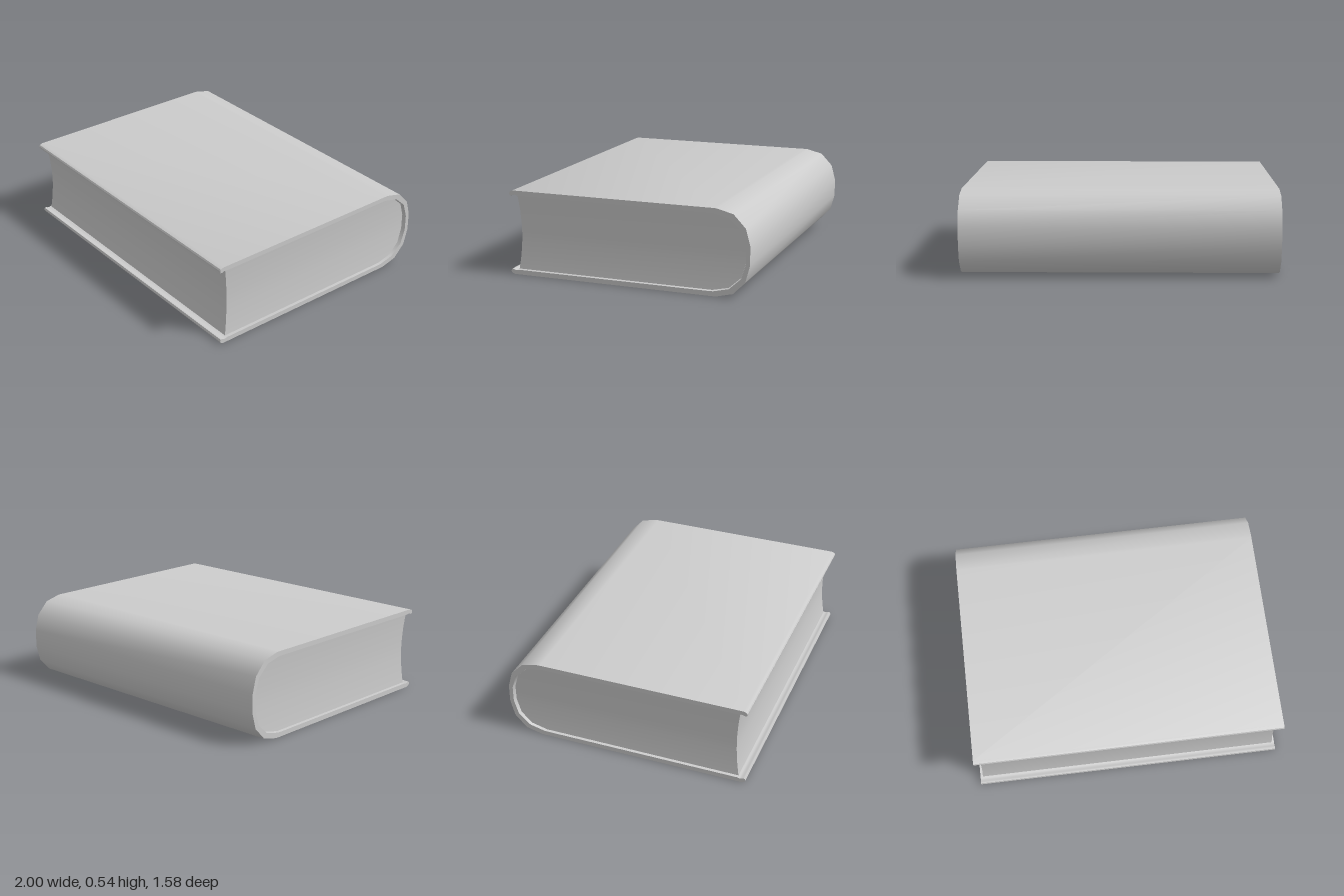
import * as THREE from 'three';
import { toCreasedNormals } from 'three/addons/utils/BufferGeometryUtils.js';

const HEIGHT = 0.54;
const MID = HEIGHT / 2;

// Lower half of the cover section as [depth toward the spine, y]
const OUTER = [
  [-0.79, 0.018], [-0.785, 0.008], [-0.765, 0], [0.56, 0], [0.58, 0.001],
  [0.685, 0.027], [0.762, 0.108], [0.79, 0.212],
];
const INNER = [
  [0.764, 0.218], [0.734, 0.122], [0.658, 0.054], [0.56, 0.031], [0.54, 0.03],
  [-0.735, 0.03], [-0.75, 0.026], [-0.765, 0.028], [-0.775, 0.033], [-0.786, 0.032],
];

// Page rows as [y, depth at the spine side], lower half
const ROWS = [[0.034, 0.55], [0.058, 0.655], [0.124, 0.728], [0.22, 0.758]];

const mirrorUp = (points) => points.map(([s, y]) => [s, HEIGHT - y]).reverse();

function createModel() {
  const model = new THREE.Group();
  model.name = 'book';
  const material = new THREE.MeshStandardMaterial({ color: 0xcccccc });

  const add = (name, geometry, crease) => {
    const mesh = new THREE.Mesh(toCreasedNormals(geometry, crease), material);
    mesh.name = name;
    model.add(mesh);
  };

  // Cover: boards and rounded spine in one wrapped section
  const section = [...OUTER, ...mirrorUp(OUTER), ...mirrorUp(INNER), ...INNER];
  // reorder the inside so the outline runs top board, spine, bottom board
  const outline = [
    ...section.slice(0, OUTER.length * 2),
    ...INNER.map(([s, y]) => [s, HEIGHT - y]).reverse(),
    ...INNER,
  ];
  const shape = new THREE.Shape(outline.map(([s, y]) => new THREE.Vector2(s, y)));
  const cover = new THREE.ExtrudeGeometry(shape, { depth: 2, bevelEnabled: false });
  cover.translate(0, 0, -1).rotateY(Math.PI / 2);
  add('cover', cover, 0.6);

  // Pages: a box in rows, rounded at the spine and hollowed on the other edges
  const rows = [...ROWS, [MID, 0.758], ...mirrorUp(ROWS.map(([y, s]) => [s, y])).map(([s, y]) => [y, s])];
  const steps = rows.length - 1;
  const pages = new THREE.BoxGeometry(2, 1, 2, 1, steps, 1);
  const p = pages.attributes.position;
  for (let i = 0; i < p.count; i++) {
    const [y, spine] = rows[Math.round((p.getY(i) + 0.5) * steps)];
    const hollow = 1 - ((y - MID) / MID) ** 2;
    const x = Math.sign(p.getX(i)) * (0.987 - 0.014 * hollow);
    p.setXYZ(i, x, y, p.getZ(i) > 0 ? 0.747 - 0.027 * hollow : -spine);
  }
  add('pages', pages, 0.6);

  return model;
}

export { createModel };
